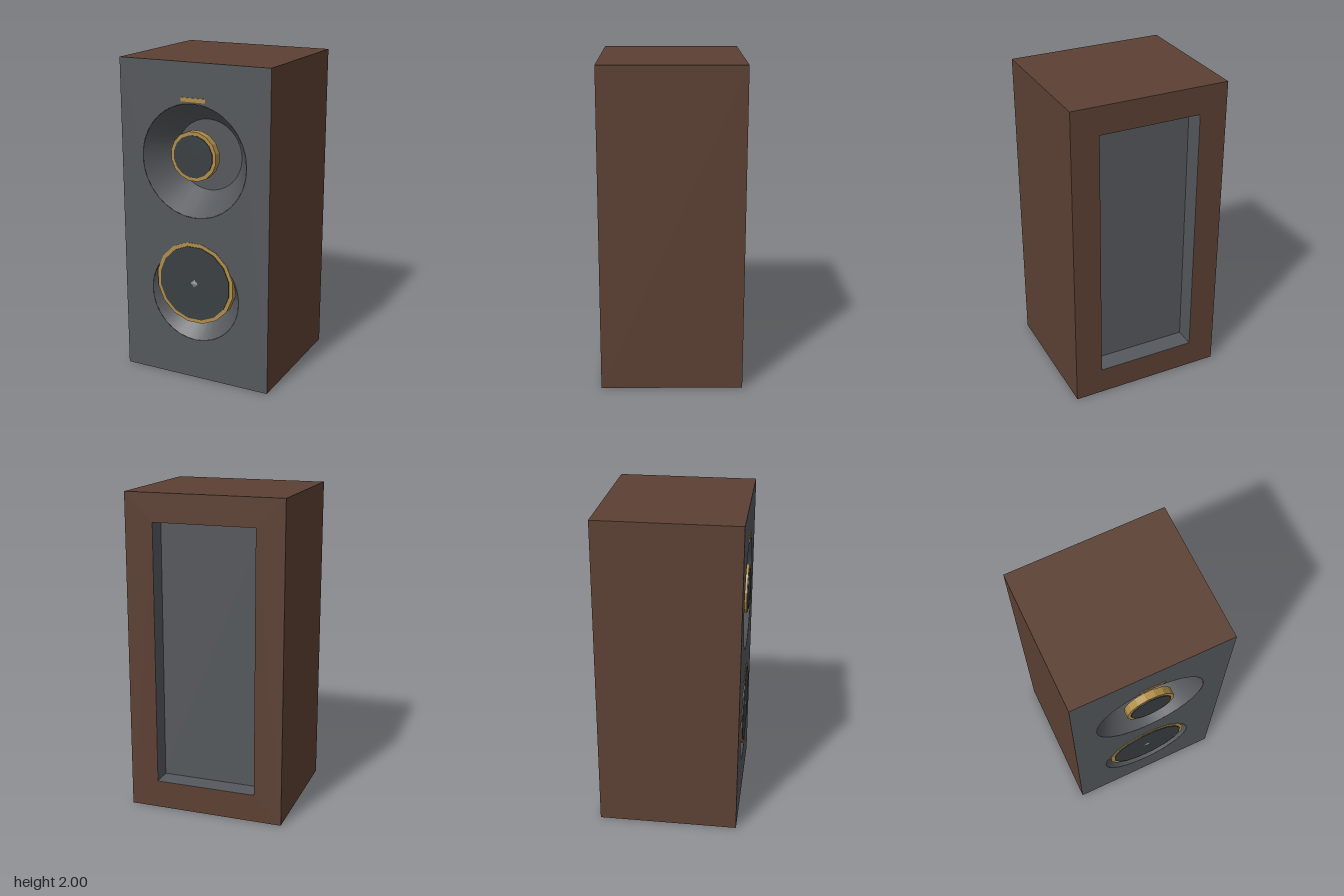
import * as THREE from 'three';

const W = 0.495, H = 2, FRONT = 0.43, BACK = -0.447;
const mat = (color, extra = {}) => new THREE.MeshStandardMaterial({ color, ...extra });
const wood = mat(0x5c4033);
const grey = mat(0x55585c);
const greyInside = mat(0x55585c, { side: THREE.DoubleSide });
const dark = mat(0x3a3f42, { flatShading: true });
const gold = mat(0xb08d48, { flatShading: true });
const silver = mat(0x8a8d92, { flatShading: true });

// Upper and lower horns with the drivers hung in front of them
const units = [
  { name: 'upper', y: 1.41, outer: 0.348, inner: 0.222, depth: 0.2, driverY: 1.443, ring: 0.152, disc: 0.13 },
  { name: 'lower', y: 0.56, outer: 0.3, inner: 0.17, depth: 0.15, driverY: 0.64, ring: 0.265, disc: 0.241 },
];

export function createModel() {
  const model = new THREE.Group();

  function add(name, geometry, material, x = 0, y = 0, z = 0) {
    const mesh = new THREE.Mesh(geometry, material);
    mesh.name = name;
    mesh.position.set(x, y, z);
    model.add(mesh);
    return mesh;
  }
  const rect = (Type, hw, y0, y1) => new Type([
    new THREE.Vector2(-hw, y0), new THREE.Vector2(hw, y0),
    new THREE.Vector2(hw, y1), new THREE.Vector2(-hw, y1),
  ]);
  // Cylinder whose axis runs along z, from z0 to z1
  function drum(name, r0, r1, z0, z1, y, sides, material, open = false, turn = 0) {
    const geo = new THREE.CylinderGeometry(r1, r0, z1 - z0, sides, 1, open);
    geo.rotateY(turn).rotateX(Math.PI / 2);
    return add(name, geo, material, 0, y, (z0 + z1) / 2);
  }

  // Cabinet shell: two sides, top and base
  const depth = FRONT - BACK - 0.002, midZ = (FRONT + BACK) / 2, t = 0.04;
  for (const s of [-1, 1]) {
    add(s > 0 ? 'leftSide' : 'rightSide', new THREE.BoxGeometry(t, H - 0.002, depth), wood, s * (W - t / 2), H / 2, midZ);
  }
  add('topPanel', new THREE.BoxGeometry(W * 2, t, depth), wood, 0, H - t / 2, midZ);
  add('basePanel', new THREE.BoxGeometry(W * 2 - 0.002, 0.02, depth), grey, 0, 0.01, midZ);

  // Front baffle with two round openings
  const baffle = rect(THREE.Shape, W, 0, H);
  for (const u of units) {
    baffle.holes.push(new THREE.Path().absarc(0, u.y, u.outer, 0, Math.PI * 2, true));
  }
  add('frontBaffle', new THREE.ShapeGeometry(baffle, 32), grey, 0, 0, FRONT);

  // Horns and drivers
  for (const u of units) {
    const floorZ = FRONT - u.depth;
    drum(u.name + 'Horn', u.inner, u.outer, floorZ, FRONT, u.y, 32, greyInside, true);
    add(u.name + 'HornFloor', new THREE.CircleGeometry(u.inner, 32), greyInside, 0, u.y, floorZ);
    const half = Math.PI / 16;
    drum(u.name + 'DriverRing', u.ring, u.ring, FRONT - 0.045, FRONT + 0.003, u.driverY, 16, gold, false, half);
    drum(u.name + 'DriverCone', u.disc, u.disc, FRONT - 0.01, FRONT + 0.008, u.driverY, 16, dark, false, half);
  }

  // Dust cap and trim bar
  add('dustCap', new THREE.OctahedronGeometry(0.025), silver, 0, 0.64, FRONT + 0.008).scale.z = 0.3;
  add('trimBar', new THREE.BoxGeometry(0.16, 0.024, 0.012), gold, 0, 1.78, FRONT - 0.002);

  // Back: wooden frame around a lined recess
  const openW = 0.32, openY0 = 0.175, openY1 = 1.825, recess = 0.13;
  const frame = rect(THREE.Shape, W, 0, H);
  frame.holes.push(rect(THREE.Path, openW, openY0, openY1));
  add('backFrame', new THREE.ShapeGeometry(frame), wood, 0, 0, BACK).rotation.y = Math.PI;

  const liner = rect(THREE.Shape, openW + 0.02, openY0 - 0.02, openY1 + 0.02);
  liner.holes.push(rect(THREE.Path, openW, openY0, openY1));
  add('recessLiner', new THREE.ExtrudeGeometry(liner, { depth: recess, bevelEnabled: false }), grey, 0, 0, BACK + 0.002);
  add('recessPanel', new THREE.BoxGeometry(openW * 2 + 0.04, openY1 - openY0 + 0.04, 0.02), grey,
    0, (openY0 + openY1) / 2, BACK + recess + 0.01);

  return model;
}
